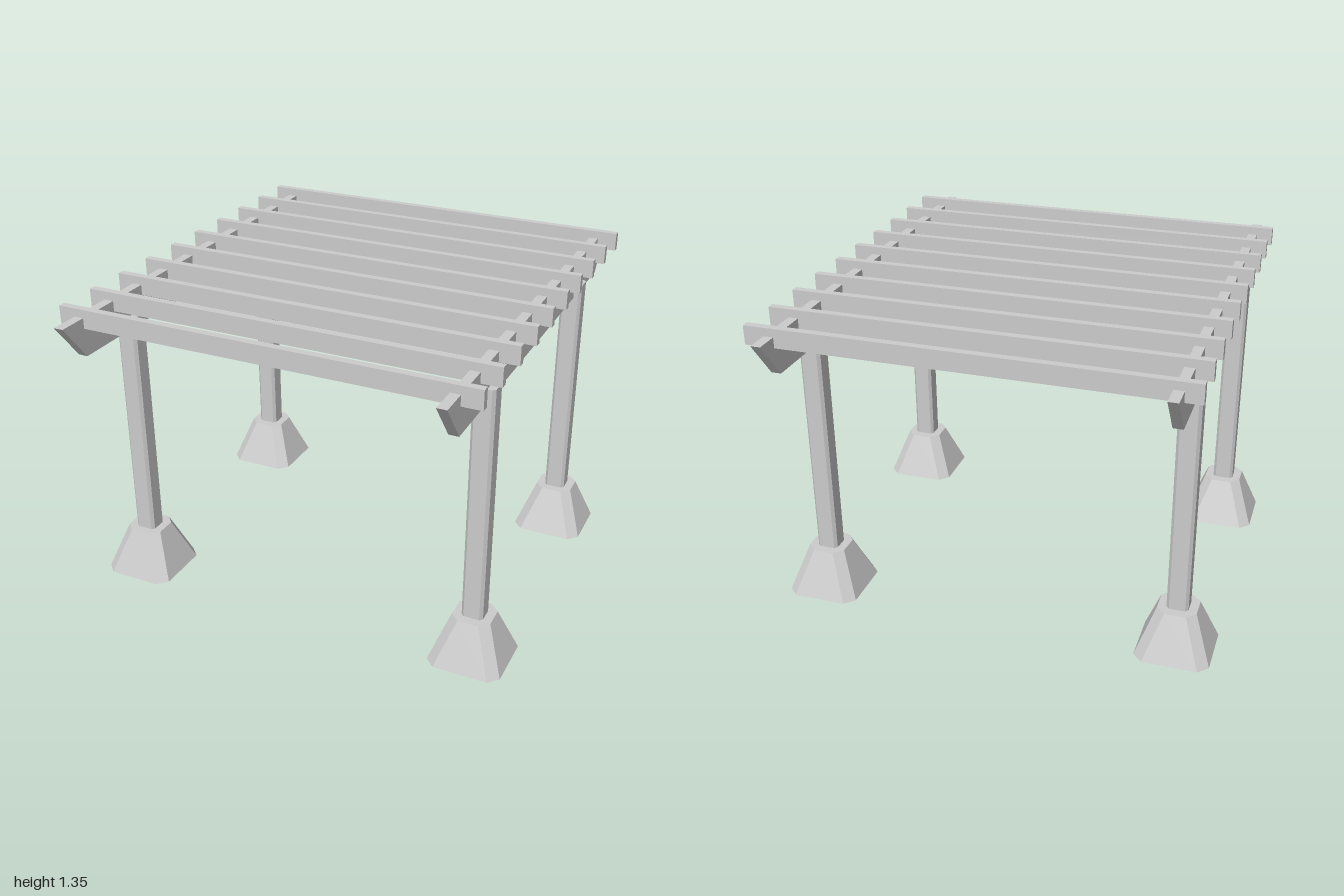
import * as THREE from 'three';
import { ConvexGeometry } from 'three/addons/geometries/ConvexGeometry.js';

const material = new THREE.MeshStandardMaterial({ color: 0xcccccc, flatShading: true });

// Rectangle with cut corners, as horizontal ring points at height y
function chamferedRing(halfX, halfZ, cut, y) {
  const points = [];
  for (const sx of [-1, 1]) {
    for (const sz of [-1, 1]) {
      points.push(new THREE.Vector3(sx * halfX, y, sz * (halfZ - cut)));
      points.push(new THREE.Vector3(sx * (halfX - cut), y, sz * halfZ));
    }
  }
  return points;
}

export function createModel() {
  const group = new THREE.Group();
  group.name = 'pergola';

  function add(name, geometry, x, y, z) {
    const mesh = new THREE.Mesh(geometry, material);
    mesh.name = name;
    mesh.position.set(x, y, z);
    group.add(mesh);
  }

  // Tapered footings and posts at the four corners
  const footing = new ConvexGeometry([
    ...chamferedRing(0.155, 0.155, 0.041, 0),
    ...chamferedRing(0.081, 0.081, 0.037, 0.2),
  ]);
  const post = new ConvexGeometry([
    ...chamferedRing(0.045, 0.042, 0.012, 0.19),
    ...chamferedRing(0.045, 0.042, 0.012, 1.213),
  ]);
  for (const x of [-0.772, 0.772]) {
    for (const z of [-0.56, 0.56]) {
      add('footing', footing, x, 0, z);
      add('post', post, x, 0, z);
    }
  }

  // Side beams with ends sloping inward towards the underside
  const profile = new THREE.Shape([
    new THREE.Vector2(-0.874, 1.155),
    new THREE.Vector2(0.874, 1.155),
    new THREE.Vector2(1, 1.315),
    new THREE.Vector2(-1, 1.315),
  ]);
  const beam = new THREE.ExtrudeGeometry(profile, { depth: 0.04, bevelEnabled: false });
  beam.translate(0, 0, -0.02).rotateY(Math.PI / 2);
  add('rightBeam', beam, -0.779, 0, 0);
  add('leftBeam', beam, 0.765, 0, 0);

  // Rafters laid across the beams
  const rafter = new THREE.BoxGeometry(1.734, 0.078, 0.031);
  for (let i = 0; i < 10; i++) add('rafter', rafter, 0, 1.31, -0.887 + i * 0.194);

  return group;
}
